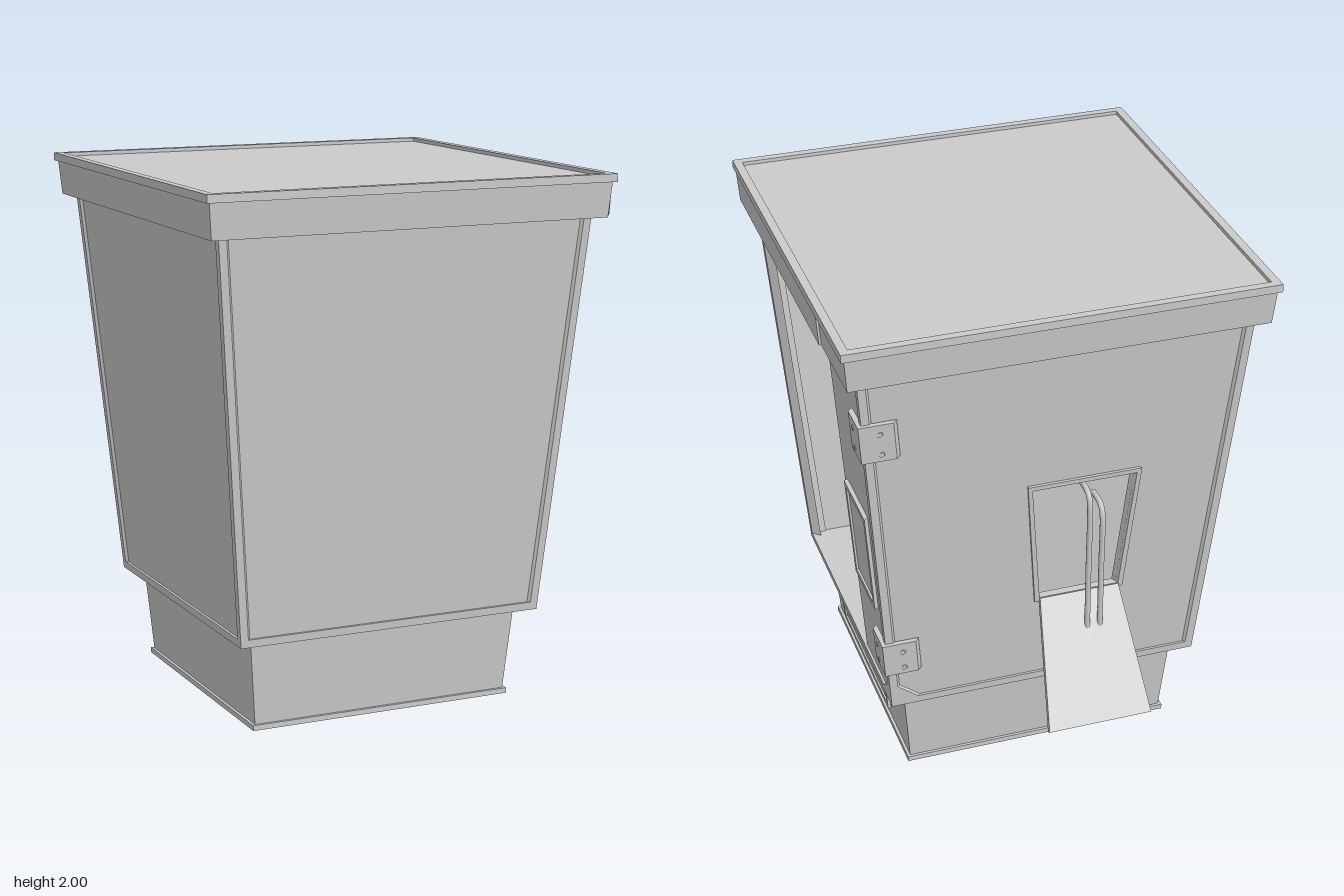
import * as THREE from 'three';

const material = new THREE.MeshStandardMaterial({ color: 0xcccccc, side: THREE.DoubleSide });

// Every wall leans outward at the same rate; half() is the booth's half width at height y.
const half = (y) => 0.605 + (y - 0.345) * 0.0836;
const FRONT = 0, RIGHT = Math.PI / 2, BACK = Math.PI, LEFT = -Math.PI / 2;

function add(parent, name, geometry) {
  const mesh = new THREE.Mesh(geometry, material);
  mesh.name = name;
  parent.add(mesh);
  return mesh;
}

const toPath = (points) => points.map(([u, y]) => new THREE.Vector2(u, y));

function extrude(points, holes, depth) {
  const shape = new THREE.Shape(toPath(points));
  for (const hole of holes) shape.holes.push(new THREE.Path(toPath(hole)));
  return new THREE.ExtrudeGeometry(shape, { depth, bevelEnabled: false });
}

// Flat outline (u, y) laid on a leaning wall between offsets d0 and d1, mitred at the corners.
function plate(parent, name, side, points, d0, d1, holes = []) {
  const geo = extrude(points, holes, d1 - d0);
  const p = geo.attributes.position;
  for (let i = 0; i < p.count; i++) {
    const y = p.getY(i), h = half(y), d = d0 + p.getZ(i);
    p.setXYZ(i, p.getX(i) * (h + d) / h, y, h + d);
  }
  geo.rotateY(side);
  geo.computeVertexNormals();
  return add(parent, name, geo);
}

// Solid block following the lean of the walls.
function frustum(parent, name, y0, y1, d) {
  const geo = new THREE.BoxGeometry(2, 1, 2);
  const p = geo.attributes.position;
  for (let i = 0; i < p.count; i++) {
    const y = p.getY(i) < 0 ? y0 : y1, h = half(y) + d;
    p.setXYZ(i, p.getX(i) * h, y, p.getZ(i) * h);
  }
  geo.computeVertexNormals();
  return add(parent, name, geo);
}

function box(parent, name, w, h, d, y) {
  return add(parent, name, new THREE.BoxGeometry(w, h, d).translate(0, y, 0));
}

const wall = (y0, y1, inset) => [
  [inset - half(y0), y0], [half(y0) - inset, y0], [half(y1) - inset, y1], [inset - half(y1), y1],
];
// Wall outline with the lower corner on the +u side cut off
const chamferedWall = (y0, y1, inset) => {
  const [a, b, c, d] = wall(y0, y1, inset);
  return [a, [b[0] - 0.075, y0], [half(y0 + 0.065) - inset, y0 + 0.065], c, d];
};
const flip = (points) => points.map(([u, y]) => [-u, y]);
const circle = (u, y, r) => Array.from({ length: 12 }, (_, i) => {
  const a = i * Math.PI / 6;
  return [u + r * Math.cos(a), y + r * Math.sin(a)];
});
// Four corners: bottom edge then top edge
const quad = (y0, l0, r0, y1, l1, r1) => [[l0, y0], [r0, y0], [r1, y1], [l1, y1]];

// Raised border with a slightly lower panel inside
function framedPanel(parent, name, side, [y0, l0, r0, y1, l1, r1], base, height) {
  const t = 0.022;
  const inner = quad(y0 + t, l0 + t, r0 - t, y1 - t, l1 + t, r1 - t);
  plate(parent, name + 'Frame', side, quad(y0, l0, r0, y1, l1, r1), base - 0.004, base + height, [inner]);
  plate(parent, name + 'Panel', side, inner, base - 0.004, base + height * 0.45);
}

export function createModel() {
  const model = new THREE.Group();
  model.name = 'booth';
  const body = new THREE.Group();
  body.name = 'boothBody';
  body.position.z = 0.055;
  model.add(body);

  // Plinth
  box(body, 'basePlate', 1.05, 0.02, 1.05, 0.01);
  frustum(body, 'plinth', 0.015, 0.35, -0.064);
  framedPanel(body, 'plinthVent', RIGHT, [0.065, -0.415, 0.295, 0.27, -0.43, 0.305], -0.064, 0.013);

  // Floor
  frustum(body, 'floor', 0.345, 0.375, -0.002);

  // Front and left walls: frame with a recessed panel
  for (const [name, side] of [['front', FRONT], ['left', LEFT]]) {
    plate(body, name + 'WallFrame', side, wall(0.345, 1.88, 0), -0.03, 0, [wall(0.375, 1.86, 0.03)]);
    plate(body, name + 'WallPanel', side, wall(0.37, 1.87, 0.025), -0.024, -0.01);
  }

  // Open service side: frame plus a panel on its rear part
  plate(body, 'serviceSideFrame', RIGHT, wall(0.345, 1.88, 0), -0.03, 0, [chamferedWall(0.375, 1.86, 0.03)]);
  plate(body, 'serviceSidePanel', RIGHT,
    quad(0.37, 0.235, half(0.37) - 0.025, 1.87, 0.276, half(1.87) - 0.025), -0.024, -0.01);
  framedPanel(body, 'sideHatch', RIGHT, [0.77, 0.29, 0.555, 1.19, 0.305, 0.58], -0.01, 0.016);

  // Rear wall with hatch opening
  const hatch = (e) => quad(0.745 - e, 0.12 - 0.155 - e, 0.12 + 0.155 + e,
    1.25 + e, 0.12 - 0.2 - e, 0.12 + 0.2 + e);
  plate(body, 'rearWallFrame', BACK, wall(0.345, 1.88, 0), -0.03, 0, [flip(chamferedWall(0.375, 1.86, 0.03))]);
  plate(body, 'rearWallPanel', BACK, wall(0.37, 1.87, 0.025), -0.024, -0.01, [hatch(0)]);
  plate(body, 'rearHatchTrim', BACK, hatch(0.018), -0.03, 0.002, [hatch(0)]);

  // Leaning partition between the cabin and the rear compartment
  const partition = new THREE.BoxGeometry(2, 1, 0.02);
  const p = partition.attributes.position;
  for (let i = 0; i < p.count; i++) {
    const y = p.getY(i) < 0 ? 0.37 : 1.85;
    p.setXYZ(i, p.getX(i) * (half(y) - 0.015), y, p.getZ(i) - 0.245 - (y - 0.375) * 0.0273);
  }
  partition.computeVertexNormals();
  add(body, 'partition', partition);

  // Fascia, folded awning strip and rimmed roof
  frustum(body, 'fascia', 1.84, 1.972, 0.043);
  plate(body, 'awningStrip', RIGHT, quad(1.845, -0.715, 0.41, 1.963, -0.715, 0.415), 0.04, 0.052);
  box(body, 'roof', 1.58, 0.016, 1.58, 1.978);
  const square = (s) => [[-s, -s], [s, -s], [s, s], [-s, s]];
  add(body, 'roofRim', extrude(square(0.797), [square(0.765)], 0.03).rotateX(-Math.PI / 2).translate(0, 1.97, 0));

  // Corner hinges wrapping the service side and the rear
  for (const [y0, y1] of [[1.51, 1.665], [0.515, 0.66]]) {
    const outline = quad(y0, half(y0) - 0.125, half(y0), y1, half(y1) - 0.125, half(y1));
    for (const [side, orient] of [[RIGHT, (q) => q], [BACK, flip]]) {
      plate(body, 'hinge', side, orient(outline), -0.005, 0.015);
      for (const y of [y0 + 0.03, y1 - 0.04]) {
        plate(body, 'hingeBolt', side, orient(circle(half(y) - 0.075, y, 0.01)), 0.01, 0.019);
      }
    }
  }

  // Lowered rear flap
  const flap = add(model, 'rearFlap',
    extrude([[-0.155, 0], [-0.2025, -0.5], [0.2025, -0.5], [0.155, 0]], [], 0.022).translate(0, 0, -0.011));
  flap.position.set(-0.12, 0.74, -0.582);
  flap.rotation.x = 0.544;

  // Two hooked pipes hanging out of the hatch
  for (const [x, top] of [[-0.13, 1.21], [-0.18, 1.15]]) {
    const curve = new THREE.CatmullRomCurve3([
      [top, -0.55], [top, -0.615], [top - 0.012, -0.642], [top - 0.045, -0.655], [0.9, -0.655], [0.62, -0.655],
    ].map(([y, z]) => new THREE.Vector3(x, y, z)));
    add(model, 'pipe', new THREE.TubeGeometry(curve, 48, 0.011, 10));
  }

  return model;
}
